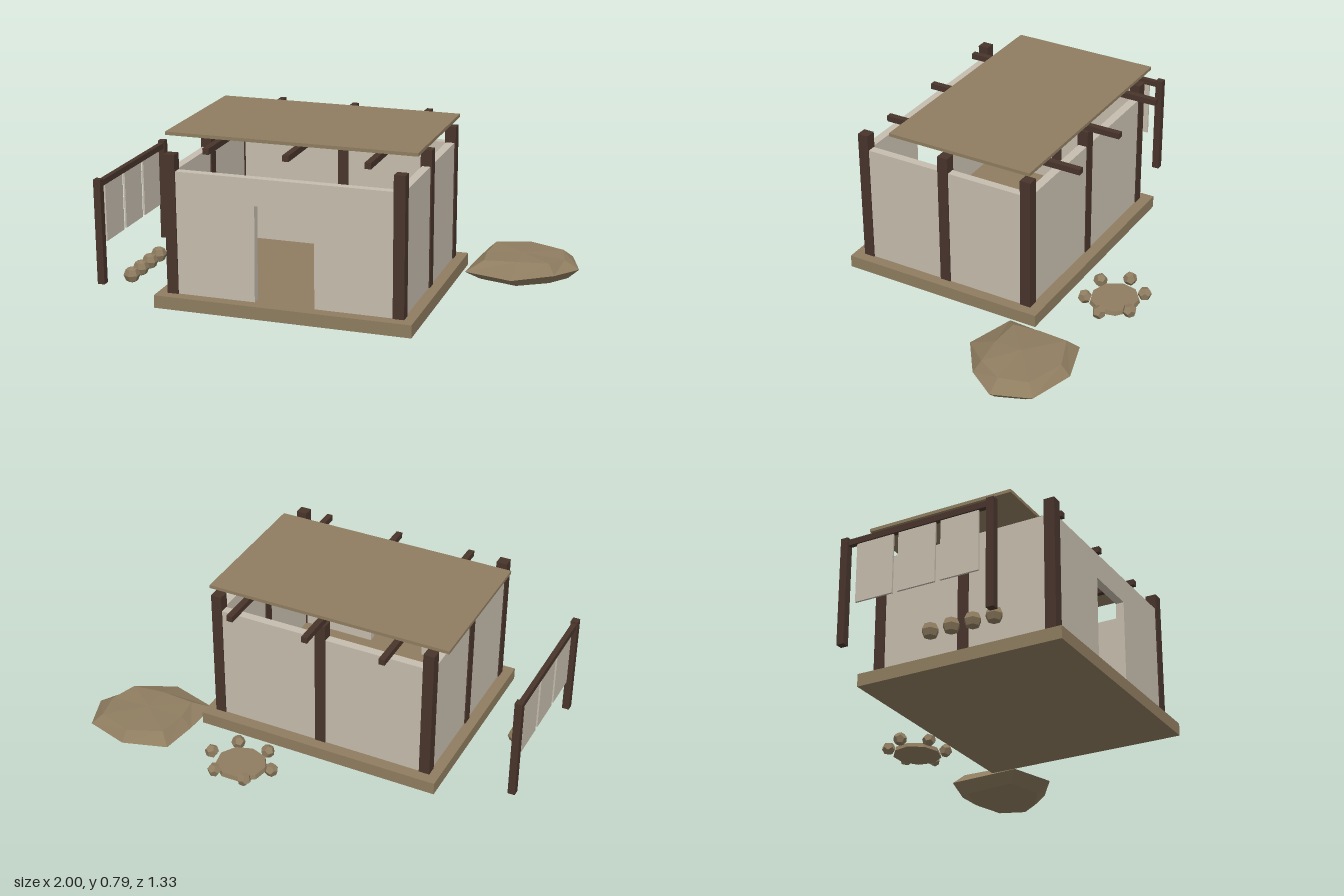
import * as THREE from 'three';

const mat = (name, color) => {
  const m = new THREE.MeshStandardMaterial({ color, flatShading: true });
  m.name = name;
  return m;
};

export function createModel() {
  const earth = mat('earth', 0x8f7d60);
  const wood = mat('darkWood', 0x48352c);
  const plaster = mat('plaster', 0xc6bdae);
  const model = new THREE.Group();
  model.name = 'hutAndYard';

  const add = (name, geo, m, x = 0, y = 0, z = 0) => {
    const mesh = new THREE.Mesh(geo, m);
    mesh.name = name;
    mesh.position.set(x, y, z);
    model.add(mesh);
    return mesh;
  };
  // box given by its limits on each axis
  const box = (name, m, x0, x1, y0, y1, z0, z1) =>
    add(name, new THREE.BoxGeometry(x1 - x0, y1 - y0, z1 - z0), m,
      (x0 + x1) / 2, (y0 + y1) / 2, (z0 + z1) / 2);

  // platform and roof
  box('platform', earth, -0.67, 0.49, 0.05, 0.108, -0.305, 0.662);
  box('roof', earth, -0.69, 0.45, 0.77, 0.785, -0.255, 0.445);

  // posts: corners, middle of each side, middle of the back
  const posts = [[-0.09, -0.23]];
  for (const x of [-0.6, 0.42]) for (const z of [-0.23, 0.18, 0.59]) posts.push([x, z]);
  for (const [x, z] of posts)
    box('post', wood, x - 0.025, x + 0.025, 0.108, 0.733, z - 0.025, z + 0.025);

  // rafters
  for (const x of [-0.45, -0.09, 0.27])
    box('rafter', wood, x - 0.014, x + 0.014, 0.734, 0.761, -0.402, 0.568);

  // solid walls
  box('backWall', plaster, -0.6, 0.42, 0.108, 0.66, -0.25, -0.21);
  for (const x of [-0.6, 0.42])
    box('sideWall', plaster, x - 0.019, x + 0.019, 0.108, 0.66, -0.23, 0.59);

  // front wall with doorway
  const front = new THREE.Shape([
    [-0.6, 0.108], [-0.222, 0.108], [-0.217, 0.54], [0.048, 0.54],
    [0.048, 0.108], [0.42, 0.108], [0.42, 0.66], [-0.6, 0.66],
  ].map(([x, y]) => new THREE.Vector2(x, y)));
  add('frontWall', new THREE.ExtrudeGeometry(front, { depth: 0.038, bevelEnabled: false }),
    plaster, 0, 0, 0.571);

  // drying rack with three hanging sheets
  for (const z of [-0.17, 0.52])
    box('rackPost', wood, -1, -0.967, 0.08, 0.565, z - 0.017, z + 0.017);
  box('rackBeam', wood, -0.995, -0.972, 0.528, 0.555, -0.17, 0.52);
  for (const z of [-0.025, 0.175, 0.375])
    box('hangingSheet', plaster, -0.988, -0.979, 0.26, 0.53, z - 0.088, z + 0.088);

  // row of round pots
  for (const z of [0.172, 0.27, 0.368, 0.465]) {
    const pot = add('pot', new THREE.SphereGeometry(0.038, 6, 4), earth, -0.865, 0.115, z);
    pot.rotation.y = Math.PI / 6;
  }

  // fire pit: flat disc ringed by six stones
  const disc = add('firePit', new THREE.CylinderGeometry(0.115, 0.12, 0.02, 9), earth, 0.165, 0.08, -0.525);
  disc.scale.z = 0.93;
  const stone = new THREE.DodecahedronGeometry(0.032);
  for (let i = 0; i < 6; i++) {
    const a = (i * Math.PI) / 3;
    const s = add('hearthStone', stone, earth,
      0.165 + Math.cos(a) * 0.15, 0.1, -0.525 + Math.sin(a) * 0.127);
    s.rotation.set(i * 0.7, -a, i * 0.4);
  }

  // boulder: three rings of corners closed above and below
  const mid = [
    [1, 0.055, -0.38], [0.91, 0.06, -0.245], [0.735, 0.058, -0.125], [0.505, 0.055, -0.19],
    [0.515, 0.055, -0.37], [0.535, 0.06, -0.55], [0.735, 0.06, -0.612], [0.94, 0.058, -0.55],
  ];
  const top = [
    [0.93, 0.095, -0.38], [0.88, 0.108, -0.27], [0.735, 0.108, -0.25], [0.58, 0.1, -0.25],
    [0.565, 0.1, -0.37], [0.58, 0.108, -0.51], [0.735, 0.104, -0.57], [0.9, 0.1, -0.51],
  ];
  const low = mid.map(([x, , z]) => [0.775 + (x - 0.775) * 0.78, 0.01, -0.37 + (z + 0.37) * 0.7]);
  const tris = [];
  for (let i = 0; i < 8; i++) {
    const j = (i + 1) % 8;
    for (const [a, b] of [[low, mid], [mid, top]])
      tris.push(a[i], b[i], a[j], b[i], b[j], a[j]);
    tris.push([0.735, 0.112, -0.38], top[j], top[i], [0.78, 0, -0.37], low[i], low[j]);
  }
  const rock = new THREE.BufferGeometry();
  rock.setAttribute('position', new THREE.Float32BufferAttribute(tris.flat(), 3));
  rock.computeVertexNormals();
  add('boulder', rock, earth);

  return model;
}
